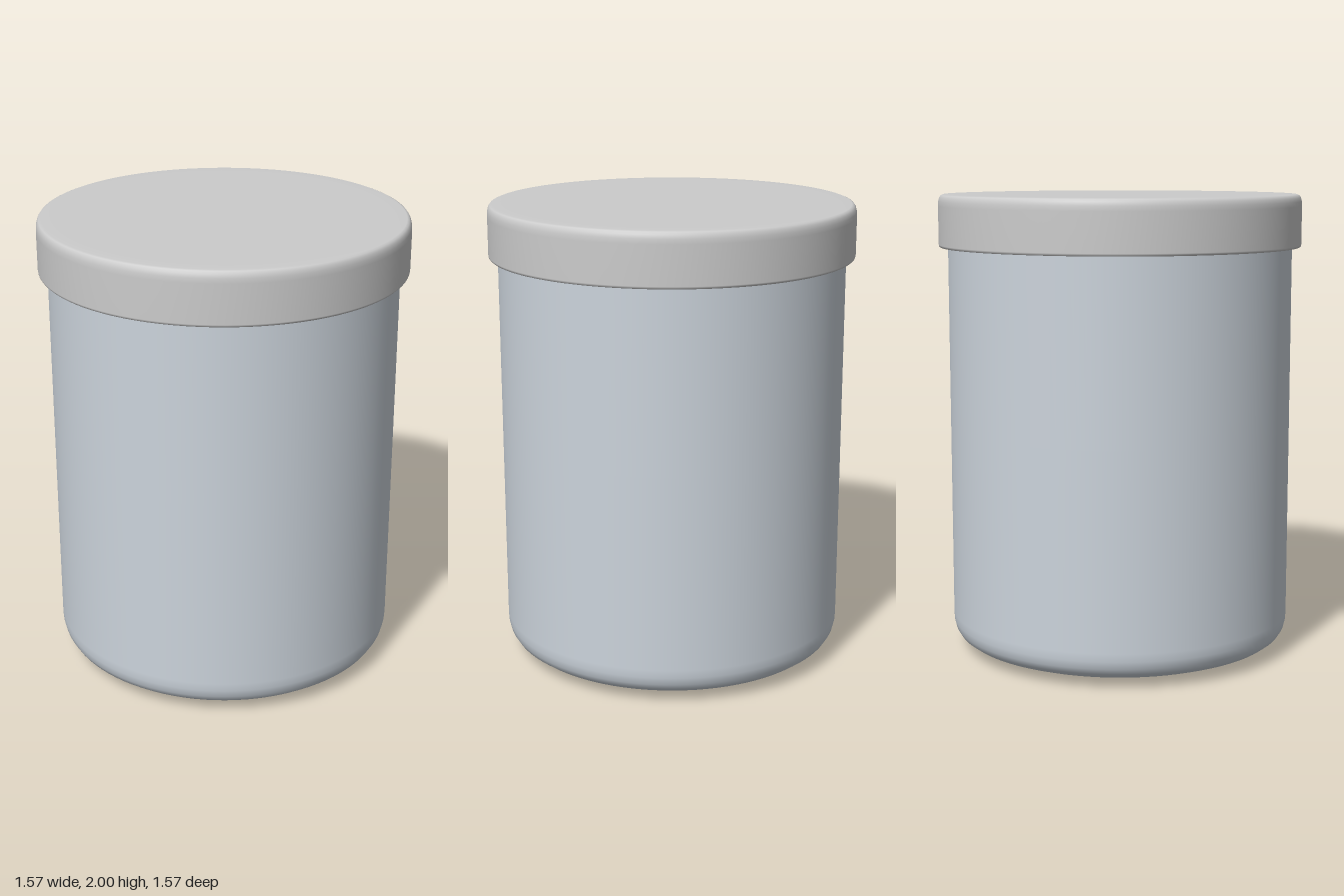
import * as THREE from 'three';

const SEGMENTS = 96;

// Revolve an outer profile given as [radius, height], listed from bottom to top
function turned(name, profile, color) {
  const points = profile.map(([r, y]) => new THREE.Vector2(r, y));
  const mesh = new THREE.Mesh(
    new THREE.LatheGeometry(points, SEGMENTS),
    new THREE.MeshStandardMaterial({ color, side: THREE.DoubleSide })
  );
  mesh.name = name;
  return mesh;
}

export function createModel() {
  const model = new THREE.Group();
  model.name = 'liddedJar';

  // Jar: gently domed base, rounded heel, straight wall running up inside the lid
  model.add(turned('jarBody', [
    [0, 0], [0.45, 0.008], [0.58, 0.017], [0.65, 0.029], [0.695, 0.046],
    [0.722, 0.066], [0.738, 0.092], [0.746, 0.125], [0.747, 0.16],
    [0.747, 1.0], [0.747, 1.93],
  ], 0xccd4dc));

  // Lid: flat underside lip, straight skirt with a small bevel, soft top edge
  model.add(turned('lid', [
    [0.74, 1.775], [0.777, 1.775], [0.781, 1.775], [0.786, 1.78], [0.787, 1.786],
    [0.787, 1.95], [0.786, 1.97], [0.782, 1.986], [0.775, 1.996],
    [0.765, 2.0], [0.7, 2.0], [0, 2.0],
  ], 0xcccccc));

  return model;
}
